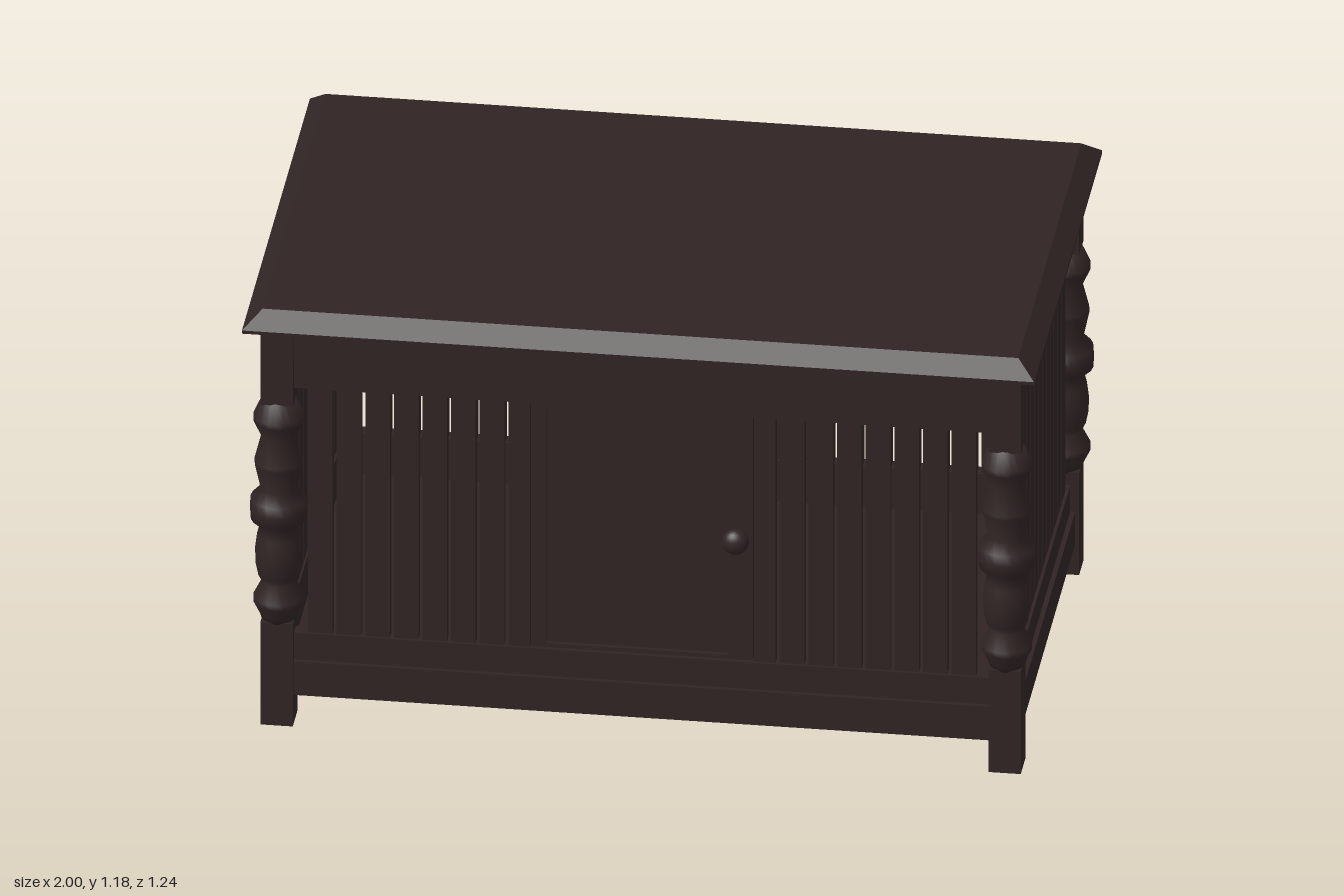
import * as THREE from 'three';

const wood = new THREE.MeshStandardMaterial({ color: 0x2f2423 });
wood.name = 'darkWood';

function add(parent, name, geometry, x = 0, y = 0, z = 0) {
  const mesh = new THREE.Mesh(geometry, wood);
  mesh.name = name;
  mesh.position.set(x, y, z);
  parent.add(mesh);
  return mesh;
}

// Box given by its lower and upper bounds
function block(parent, name, x0, x1, y0, y1, z0, z1) {
  return add(parent, name, new THREE.BoxGeometry(x1 - x0, y1 - y0, z1 - z0),
    (x0 + x1) / 2, (y0 + y1) / 2, (z0 + z1) / 2);
}

// Box whose upper face is drawn in by an inset
function taperedBlock(w, h, d, inset) {
  const g = new THREE.BoxGeometry(w, h, d);
  const p = g.attributes.position;
  for (let i = 0; i < p.count; i++) {
    if (p.getY(i) < 0) continue;
    p.setX(i, p.getX(i) - Math.sign(p.getX(i)) * inset);
    p.setZ(i, p.getZ(i) - Math.sign(p.getZ(i)) * inset);
  }
  g.computeVertexNormals();
  return g;
}

// Post: square foot and head with a turned middle
function makePost() {
  const post = new THREE.Group();
  block(post, 'postFoot', -0.041, 0.041, 0, 0.29, -0.042, 0.042);
  block(post, 'postHead', -0.041, 0.041, 0.907, 1.135, -0.042, 0.042);
  const profile = [
    [0, 0.285], [0.043, 0.285], [0.047, 0.3], [0.064, 0.335], [0.064, 0.35], [0.043, 0.392],
    [0.052, 0.41], [0.059, 0.445], [0.06, 0.48], [0.055, 0.52], [0.048, 0.548],
    [0.071, 0.57], [0.073, 0.6], [0.071, 0.628], [0.046, 0.655],
    [0.061, 0.725], [0.061, 0.735], [0.044, 0.803],
    [0.064, 0.848], [0.064, 0.862], [0.043, 0.91], [0, 0.91],
  ].map(([r, y]) => new THREE.Vector2(r, y));
  add(post, 'postTurning', new THREE.LatheGeometry(profile, 20));
  return post;
}

// Upper and lower rails with a proud outer band; the outside faces +z
function addRails(panel, half, face) {
  block(panel, 'topRail', -half, half, 0.95, 1.125, face - 0.05, face - 0.012);
  block(panel, 'topRailBand', -half, half, 1.03, 1.125, face - 0.012, face);
  block(panel, 'bottomRail', -half, half, 0.085, 0.255, face - 0.05, face - 0.012);
  block(panel, 'bottomRailBand', -half, half, 0.085, 0.18, face - 0.012, face);
}

function addSlat(panel, x, face) {
  block(panel, 'slat', x - 0.031, x + 0.031, 0.245, 0.96, face - 0.045, face - 0.02);
}

// Long side with a door in the middle
function makeLongSide() {
  const side = new THREE.Group();
  const face = 0.565;
  addRails(side, 0.88, face);
  for (const s of [-1, 1]) {
    for (let i = 0; i < 7; i++) addSlat(side, s * (0.379 + i * 0.0722), face);
    block(side, 'doorJamb', s * 0.31 - 0.027, s * 0.31 + 0.027, 0.245, 0.96, face - 0.045, face - 0.018);
  }

  // Door frame with a recessed panel
  const frame = new THREE.Shape();
  frame.moveTo(-0.28, 0.257).lineTo(0.28, 0.257).lineTo(0.28, 0.948).lineTo(-0.28, 0.948).closePath();
  const hole = new THREE.Path();
  hole.moveTo(-0.243, 0.268).lineTo(-0.243, 0.932).lineTo(0.215, 0.932).lineTo(0.215, 0.268).closePath();
  frame.holes.push(hole);
  add(side, 'doorFrame', new THREE.ExtrudeGeometry(frame, { depth: 0.025, bevelEnabled: false }), 0, 0, face - 0.045);
  block(side, 'doorPanel', -0.26, 0.235, 0.26, 0.94, face - 0.05, face - 0.032);

  // Knob on a short stem
  const stem = add(side, 'knobStem', new THREE.CylinderGeometry(0.016, 0.02, 0.03, 16), 0.24, 0.608, face - 0.012);
  stem.rotation.x = Math.PI / 2;
  const knob = add(side, 'doorKnob', new THREE.SphereGeometry(0.034, 20, 14), 0.24, 0.608, face + 0.012);
  knob.scale.z = 0.8;
  return side;
}

// Short side, slatted all the way
function makeShortSide() {
  const side = new THREE.Group();
  const face = 0.95;
  addRails(side, 0.487, face);
  for (let i = -6; i <= 6; i++) addSlat(side, i * 0.0708, face);
  return side;
}

export function createModel() {
  const model = new THREE.Group();
  model.name = 'slattedCabinet';

  // Top with sloping edges
  block(model, 'topEdge', -1, 1, 1.13, 1.139, -0.62, 0.62);
  add(model, 'topBoard', taperedBlock(2, 0.041, 1.24, 0.046), 0, 1.1595, 0);

  // Floor
  block(model, 'floor', -0.91, 0.91, 0.115, 0.14, -0.525, 0.525);

  // Corner posts
  for (const x of [-1, 1]) for (const z of [-1, 1]) {
    const post = makePost();
    post.name = 'cornerPost';
    post.position.set(x * 0.919, 0, z * 0.532);
    model.add(post);
  }

  // Front, and the back as its mirror image
  const front = makeLongSide();
  front.name = 'frontSide';
  const back = makeLongSide();
  back.name = 'backSide';
  back.scale.z = -1;
  model.add(front, back);

  // Short sides
  for (const s of [-1, 1]) {
    const side = makeShortSide();
    side.name = s > 0 ? 'leftSide' : 'rightSide';
    side.rotation.y = s * Math.PI / 2;
    model.add(side);
  }
  return model;
}
